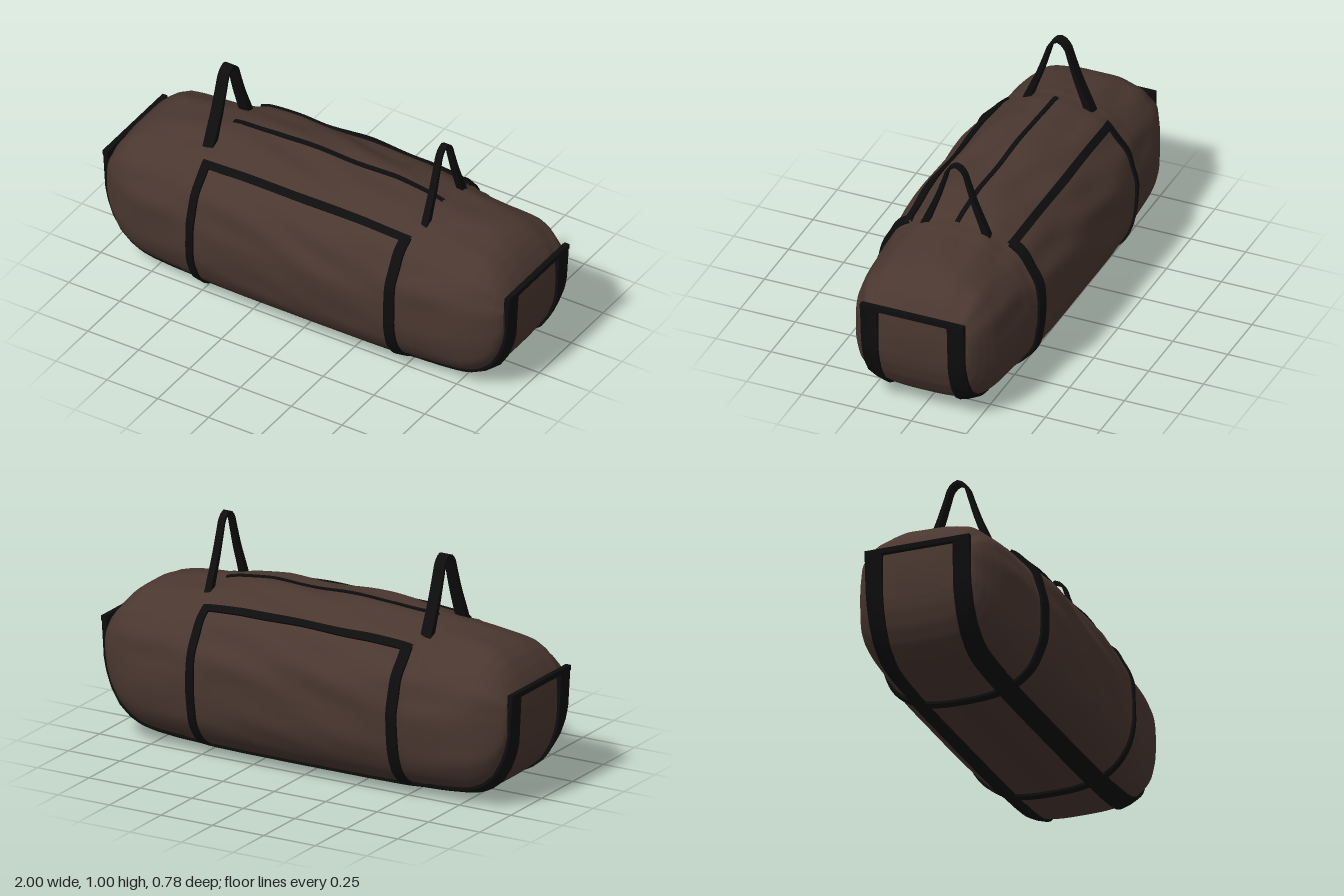
import * as THREE from 'three';
import { mergeVertices, toCreasedNormals } from 'three/addons/utils/BufferGeometryUtils.js';

const cloth = new THREE.MeshStandardMaterial({ color: 0x4a3730 });
const webbing = new THREE.MeshStandardMaterial({ color: 0x0d0d0d, side: THREE.DoubleSide });
const lerp = THREE.MathUtils.lerp;
const rad = THREE.MathUtils.degToRad;

// Cross-sections of half the bag: |x|, half width, bottom, top, squareness
const sections = [
  [0, 0.383, 0.012, 0.738, 0], [0.3, 0.38, 0.012, 0.736, 0], [0.47, 0.37, 0.013, 0.722, 0],
  [0.54, 0.35, 0.015, 0.706, 0], [0.65, 0.343, 0.02, 0.692, 0.1], [0.75, 0.336, 0.03, 0.677, 0.2],
  [0.8, 0.328, 0.04, 0.667, 0.3], [0.85, 0.316, 0.065, 0.65, 0.5], [0.9, 0.296, 0.105, 0.618, 0.7],
  [0.94, 0.275, 0.17, 0.575, 0.9], [0.965, 0.256, 0.24, 0.535, 1], [0.975, 0.243, 0.29, 0.515, 1],
];
const END = 0.975;

function section(x) {
  const a = Math.min(Math.abs(x), END);
  let i = 1;
  while (i < sections.length - 1 && sections[i][0] < a) i++;
  const p = sections[i - 1], q = sections[i], t = (a - p[0]) / (q[0] - p[0]);
  const [, w, lo, hi, sq] = p.map((v, k) => lerp(v, q[k], t));
  return { w, yc: (lo + hi) / 2, h: (hi - lo) / 2, nTop: lerp(2.1, 3.2, sq), nLow: lerp(2.8, 3.4, sq) };
}

// Soft lengthwise folds and vertical seams, fading out beneath the bag
function folds(x, a) {
  const fade = THREE.MathUtils.smoothstep(Math.sin(a), -0.75, 0.1) * (1 - 0.6 * Math.abs(x));
  const long = Math.sin(a * 13 + 1.6 * Math.sin(x * 4)) * Math.sin(x * 7 + a * 2);
  const lumps = Math.sin(x * 11 + a * 3) * Math.cos(a * 5 - x * 3);
  const seam = Math.exp(-(((Math.abs(x) - 0.565) / 0.012) ** 2));
  return fade * (0.007 * long + 0.006 * lumps) + 0.006 * seam;
}

// Point on the bag at angle a (0 = front, 90 degrees = top), lifted by d
function surface(x, a, d = 0) {
  const s = section(x), c = Math.cos(a), n = Math.sin(a);
  const e = 2 / (n >= 0 ? s.nTop : s.nLow), r = d + folds(x, a);
  return new THREE.Vector3(x,
    s.yc + Math.sign(n) * s.h * Math.abs(n) ** e + r * n,
    Math.sign(c) * s.w * Math.abs(c) ** e + r * c);
}

// Grid surface from f(i, j)
function sheet(f, nu, nv) {
  const pos = [], idx = [];
  for (let i = 0; i <= nu; i++) for (let j = 0; j <= nv; j++) {
    pos.push(...f(i, j).toArray());
    if (i < nu && j < nv) {
      const a = i * (nv + 1) + j, b = a + nv + 1;
      idx.push(a, b, a + 1, b, b + 1, a + 1);
    }
  }
  const g = new THREE.BufferGeometry();
  g.setAttribute('position', new THREE.Float32BufferAttribute(pos, 3));
  g.setIndex(idx);
  return g;
}

// Raised strap: f(t, s, lift), t along it and s across it, with edges sunk into the cloth
function strap(f, steps, lift) {
  const across = [[0, -0.01], [0, lift], [0.5, lift], [1, lift], [1, -0.01]];
  return toCreasedNormals(sheet((i, j) => f(i / steps, across[j][0], across[j][1]), steps, 4), 0.7);
}

export function createModel() {
  const bag = new THREE.Group();
  bag.name = 'duffelBag';
  const add = (name, geometry, material = webbing) => {
    const mesh = new THREE.Mesh(geometry, material);
    mesh.name = name;
    bag.add(mesh);
    return mesh;
  };

  // Body: rings along x, closed at each end by shrinking rings
  const rings = [];
  for (let i = 0; i <= 120; i++) rings.push([END * Math.sin((i / 60 - 1) * Math.PI / 2), 1]);
  for (const k of [0.85, 0.5, 0]) {
    const x = END + 0.01 * (1 - k);
    rings.push([x, k]);
    rings.unshift([-x, k]);
  }
  const body = sheet((i, j) => {
    const [x, k] = rings[i];
    const p = surface(x, (j % 112) / 112 * Math.PI * 2);
    const yc = section(x).yc;
    return p.set(x, yc + (p.y - yc) * k, p.z * k);
  }, rings.length - 1, 112);
  const bodyGeometry = mergeVertices(body, 1e-5);
  bodyGeometry.computeVertexNormals();
  add('body', bodyGeometry, cloth);

  // Girth straps: down the front, beneath, and up the back
  for (const side of [-1, 1]) {
    add('girthStrap', strap((t, s, d) =>
      surface(side * 0.49 + (s - 0.5) * 0.042, rad(lerp(52, -232, t)), d), 80, 0.011));
  }

  // Horizontal straps along the upper edge of both side panels
  for (const mid of [51, 129]) {
    add('panelStrap', strap((t, s, d) =>
      surface(lerp(-0.51, 0.51, t), rad(mid + (s - 0.5) * 5.5), d), 60, 0.011));
  }

  // Zip along the top
  add('zip', strap((t, s, d) => surface(lerp(-0.5, 0.53, t), rad(90 + (s - 0.5) * 2.4), d), 60, 0.007));

  // Long straps beneath the bag, turning up over both ends
  const lowPoint = (u, z) => {
    const s = Math.abs(u), x = END * Math.sin(Math.min(s / 0.8, 1) * Math.PI / 2);
    const c = section(x);
    const low = c.yc - c.h * Math.max(0, 1 - Math.min(z / c.w, 1) ** c.nLow) ** (1 / c.nLow);
    const k = Math.max(0, (s - 0.8) / 0.2);
    return new THREE.Vector2(x + 0.011 * k, lerp(low, 0.52, k));
  };
  for (const side of [-1, 1]) {
    add('baseStrap', strap((t, s, d) => {
      const u = t * 2 - 1, m = Math.abs(u), z = 0.16 + 0.075 * s;
      const p = lowPoint(m, z);
      const dir = lowPoint(Math.min(m + 0.02, 1), z).sub(lowPoint(Math.max(m - 0.02, 0), z)).normalize();
      return new THREE.Vector3(Math.sign(u) * (p.x + dir.y * d), p.y - dir.x * d, side * z);
    }, 100, 0.013));
  }

  // Cross bars joining the base straps at the top of each end
  for (const side of [-1, 1]) {
    const bar = add('endBar', new THREE.BoxGeometry(0.024, 0.022, 0.47));
    bar.position.set(side * 0.988, 0.51, 0);
  }

  // Carry handles: tapered loops of webbing
  const half = [[0.655, 0.15], [0.72, 0.125], [0.82, 0.085], [0.91, 0.055], [0.97, 0.033]];
  const path = new THREE.CatmullRomCurve3([
    ...half.map(([y, z]) => new THREE.Vector3(0, y, z)),
    new THREE.Vector3(0, 0.993, 0),
    ...half.map(([y, z]) => new THREE.Vector3(0, y, -z)).reverse(),
  ]);
  const corners = [[-1, -1], [-1, 1], [1, 1], [1, -1], [-1, -1]];
  for (const [x, width] of [[-0.53, 0.05], [0.532, 0.03]]) {
    const handle = sheet((i, j) => {
      const t = i / 40, p = path.getPointAt(t), tan = path.getTangentAt(t);
      const thick = lerp(0.012, 0.034, Math.abs(2 * t - 1) ** 1.5) / 2;
      const [a, b] = corners[j];
      return new THREE.Vector3(x + a * width / 2, p.y - tan.z * b * thick, p.z + tan.y * b * thick);
    }, 40, 4);
    add('carryHandle', toCreasedNormals(handle, 0.7));
  }
  return bag;
}
